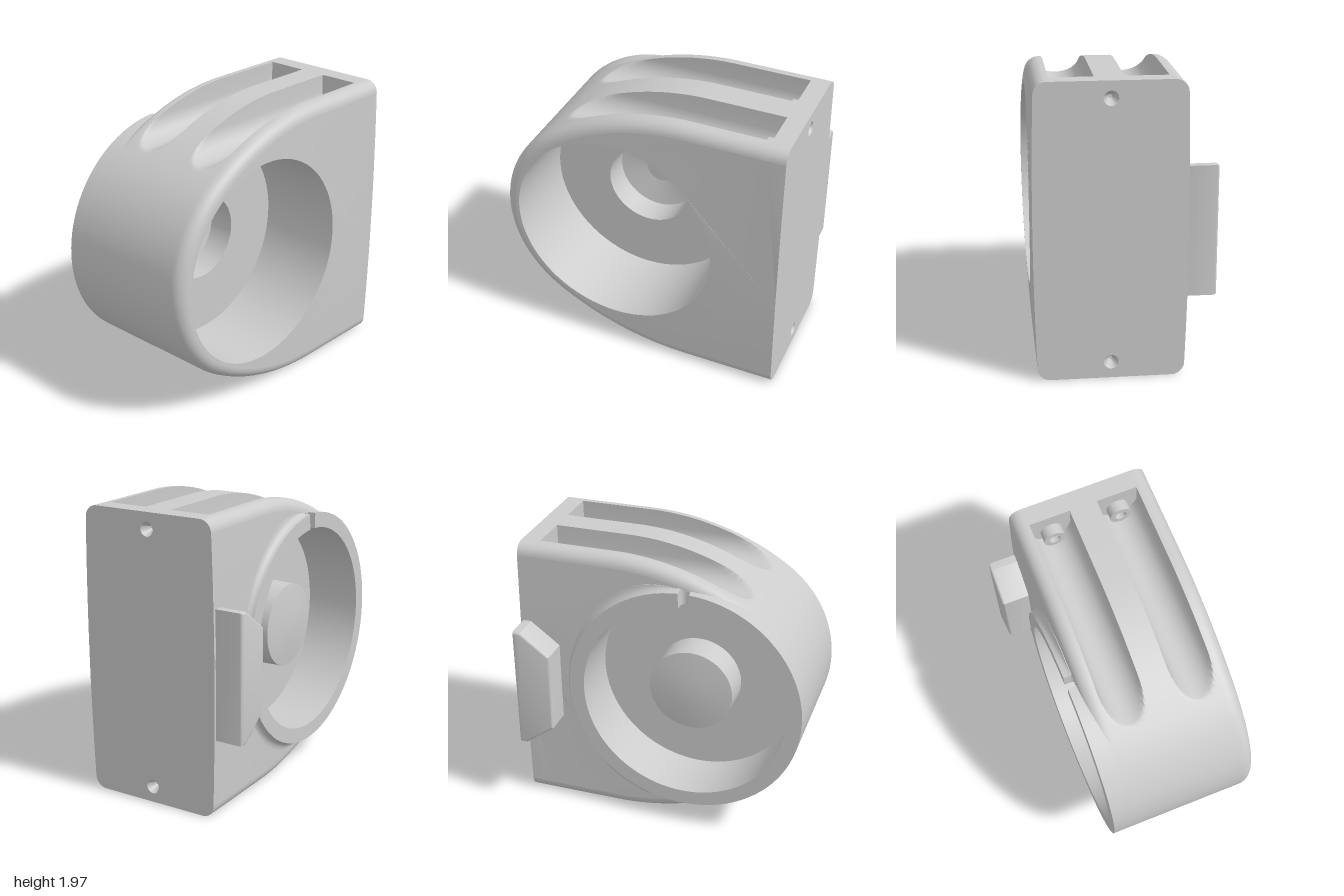
import * as THREE from 'three';
import { toCreasedNormals } from 'three/addons/utils/BufferGeometryUtils.js';

const H = 0.983;                 // half height, also the height of the centre line
const CX = -0.18, R = 0.82;      // round end of the body
const CUP = 0.715, FILLET = 0.08;
const FRONT = 0.57, BACK = -0.38, MID = 0.095;
const GROOVES = [0.33, -0.14], GR = 0.14;
const material = new THREE.MeshStandardMaterial({ color: 0xcccccc, side: THREE.DoubleSide });

// Front and back swell slightly toward mid height
function bulge(geo) {
  const p = geo.attributes.position;
  for (let i = 0; i < p.count; i++) {
    const t = (p.getY(i) - H) / H;
    p.setZ(i, MID + (p.getZ(i) - MID) * (1 + 0.04 * (1 - t * t)));
  }
  return geo;
}

function part(name, geo, crease = 0.6) {
  const mesh = new THREE.Mesh(toCreasedNormals(geo, crease), material);
  mesh.name = name;
  return mesh;
}

// Surface over columns and rows; fn returns [x, y, z]
function grid(cols, rows, fn) {
  const pos = [], idx = [], n = rows.length;
  cols.forEach(c => rows.forEach(r => pos.push(...fn(c, r))));
  for (let i = 0; i < cols.length - 1; i++) {
    for (let j = 0; j < n - 1; j++) {
      const a = i * n + j, b = a + n;
      idx.push(a, a + 1, b, a + 1, b + 1, b);
    }
  }
  const geo = new THREE.BufferGeometry();
  geo.setAttribute('position', new THREE.Float32BufferAttribute(pos, 3));
  geo.setIndex(idx);
  return geo;
}

// D-shaped outline, from the top right corner round the left to the bottom right
function bodyOutline() {
  const half = [], x0 = 0.35, dx = x0 - CX;
  const big = (dx * dx + H * H - R * R) / (2 * (H - R));
  const end = Math.atan2(big - H, -dx);
  const add = (x, h, a, cut = true) => half.push({ x, h, nx: Math.cos(a), nh: Math.sin(a), cut });
  add(1, H, Math.PI / 2, false);
  add(0.87, H, Math.PI / 2, false);
  for (let i = 0; i < 6; i++) add(0.87 - (0.87 - x0) * i / 6, H, Math.PI / 2);
  for (let i = 0; i < 60; i++) {
    const a = Math.PI / 2 + (end - Math.PI / 2) * i / 60;
    add(x0 + big * Math.cos(a), H - big + big * Math.sin(a), a);
  }
  for (let i = 0; i <= 16; i++) {
    const a = end + (Math.PI - end) * i / 16;
    add(CX + R * Math.cos(a), R * Math.sin(a), a);
  }
  const lower = half.slice(0, -1).reverse().map(p => ({ ...p, h: -p.h, nh: -p.nh }));
  return [...half, ...lower];
}

// Rows across the depth: front rounding, two grooves, back rounding
function depthRows() {
  const rows = [], N = 8;
  const round = (z, dir, i) => {
    const a = i / N * Math.PI / 2;
    rows.push({ z: z - dir * FILLET * (1 - Math.cos(a)), inset: FILLET * (1 - Math.sin(a)) });
  };
  for (let i = 0; i <= N; i++) round(FRONT, 1, i);
  for (const c of GROOVES) {
    rows.push({ z: c + GR, inset: 0 });
    for (let i = 0; i <= 16; i++) {
      const d = GR * Math.cos(i / 16 * Math.PI);
      rows.push({ z: c + d, inset: 0, groove: d });
    }
    rows.push({ z: c - GR, inset: 0 });
  }
  for (let i = N; i >= 0; i--) round(BACK, -1, i);
  return rows;
}

function wallPoint(p, r) {
  let h = p.h - p.nh * r.inset;
  if (r.groove !== undefined && p.cut) {
    const floor = 0.862 - Math.sqrt(Math.max(0, GR * GR - r.groove * r.groove));
    h = Math.sign(h) * Math.min(Math.abs(h), floor);
  }
  return [p.x - p.nx * r.inset, H + h, r.z];
}

// Points down a straight edge, so that it can swell
const edge = (x, y0, y1) => Array.from({ length: 17 }, (_, i) => new THREE.Vector2(x, y0 + (y1 - y0) * i / 16));

function circle(x, y, r, n = 72) {
  const path = new THREE.Path();
  path.setFromPoints(Array.from({ length: n }, (_, i) => {
    const a = i / n * Math.PI * 2;
    return new THREE.Vector2(x + r * Math.cos(a), y + r * Math.sin(a));
  }));
  return path;
}

function buildBody(group) {
  const outline = bodyOutline(), rows = depthRows();
  group.add(part('bodyWall', bulge(grid(outline, rows, wallPoint))));
  const inner = outline.map(p => new THREE.Vector2(p.x - p.nx * FILLET, H + p.h - p.nh * FILLET));
  const low = FILLET, high = 2 * H - FILLET;

  const front = new THREE.Shape([...inner, ...edge(1, low, high).slice(1, -1)]);
  front.holes.push(circle(CX, H, CUP));
  group.add(part('frontFace', bulge(new THREE.ShapeGeometry(front).translate(0, 0, FRONT))));

  // Back face ends at the round rim
  const top = inner.filter(p => p.y > H && p.x > -0.14).reverse();
  const bottom = inner.filter(p => p.y < H && p.x > -0.14).reverse();
  const arc = Array.from({ length: 41 }, (_, i) => {
    const a = (-0.5 + i / 40) * Math.PI * 0.97;
    return new THREE.Vector2(CX + 0.8 * Math.cos(a), H + 0.8 * Math.sin(a));
  });
  const back = [...top, ...edge(1, high, low).slice(1, -1), ...bottom, ...arc];
  const backGeo = new THREE.ShapeGeometry(new THREE.Shape(back.map(p => new THREE.Vector2(-p.x, p.y))));
  group.add(part('backFace', bulge(backGeo.rotateY(Math.PI).translate(0, 0, BACK))));

  // Flat end with two screw holes
  const upper = rows.map(r => new THREE.Vector2(-r.z, 2 * H - r.inset));
  const lower = rows.map(r => new THREE.Vector2(-r.z, r.inset)).reverse();
  const end = new THREE.Shape([...upper, ...edge(-BACK, high, low).slice(1, -1), ...lower,
    ...edge(-FRONT, low, high).slice(1, -1)]);
  for (const y of [0.11, 2 * H - 0.11]) {
    end.holes.push(circle(-MID, y, 0.048, 20));
    const cone = new THREE.CylinderGeometry(0.048, 0.012, 0.07, 20, 1, true);
    const tip = new THREE.CircleGeometry(0.012, 20).rotateX(-Math.PI / 2).translate(0, -0.035, 0);
    const hole = new THREE.Group();
    hole.name = 'screwHole';
    hole.add(part('holeWall', cone), part('holeBottom', tip));
    hole.rotation.z = -Math.PI / 2;
    hole.position.set(0.965, y, MID);
    group.add(hole);
  }
  group.add(part('endFace', bulge(new THREE.ShapeGeometry(end).rotateY(Math.PI / 2).translate(1, 0, 0))));
}

function buildCups(group) {
  // Front cup with a sunken cone in its floor
  const turn = Array.from({ length: 73 }, (_, i) => ({ a: i / 72 * Math.PI * 2 }));
  const frontProfile = [[0, -0.22], [0.11, -0.22], [0.295, -0.18], [0.3, 0], [0.707, 0], [CUP, FRONT]];
  const spin = (a, r, z) => [CX + r * Math.cos(a), H + r * Math.sin(a), z];
  group.add(part('frontCup', bulge(grid(turn, frontProfile, (c, p) => spin(c.a, p[0], p[1]))), 0.15));

  // Back rim and cup, with a notch at the top and a flared foot on the flat side
  const half = 0.045, cols = [];
  for (let i = 0; i <= 8; i++) cols.push({ a: Math.PI / 2 + half * (i / 4 - 1), s: i / 4 - 1 });
  for (let i = 0; i <= 90; i++) cols.push({ a: Math.PI / 2 + half + (Math.PI * 2 - 2 * half) * i / 90 });
  cols.push({ ...cols[0], a: cols[0].a + Math.PI * 2 });
  const rows = [[R, -0.3, 0.055]];
  for (let i = 0; i <= 6; i++) {
    const a = i / 6 * Math.PI / 2;
    rows.push([R, -0.44 + 0.05 * Math.cos(a), 0.055 * (1 - Math.sin(a))]);
  }
  rows.push([CUP, -0.44, 0], [0.708, -0.05, 0], [0.3, -0.05, 0], [0.295, -0.26, 0], [0.11, -0.285, 0], [0, -0.285, 0]);
  const backGeo = grid(cols, rows, (c, [r, z, flare]) => {
    const f = Math.min(1, Math.max(0, Math.cos(c.a) * 3));
    const floor = c.s === undefined ? -1 : -0.39 + 0.03 * Math.sqrt(1 - c.s * c.s);
    return spin(c.a, r + flare * f, Math.max(z, floor));
  });
  group.add(part('backRimAndCup', backGeo, 0.4));
}

export function createModel() {
  const group = new THREE.Group();
  group.name = 'housing';
  buildBody(group);
  buildCups(group);

  // Small sleeves at the ends of the grooves, top and bottom
  const ring = new THREE.Shape().absarc(0, 0, 0.075, 0, Math.PI * 2);
  ring.holes.push(new THREE.Path().absarc(0, 0, 0.04, 0, Math.PI * 2));
  const sleeve = new THREE.ExtrudeGeometry(ring, { depth: 0.08, bevelEnabled: false, curveSegments: 12 });
  sleeve.rotateY(Math.PI / 2);
  for (const z of GROOVES) {
    for (const side of [-1, 1]) {
      const mesh = part('grooveSleeve', sleeve);
      mesh.position.set(0.795, H + side * 0.817, z);
      group.add(mesh);
    }
  }

  // Tapered block on the back
  const b = 0.015;
  const block = new THREE.Shape([[0.98 - b, 0.54 + b], [0.98 - b, 1.41 - b], [0.93, 1.41 - b], [0.72 + b, 1.25],
    [0.72 + b, 0.7], [0.93, 0.54 + b]].map(p => new THREE.Vector2(...p)));
  const blockGeo = new THREE.ExtrudeGeometry(block, { depth: 0.2, bevelSize: b, bevelThickness: b, bevelSegments: 3 });
  group.add(part('backBlock', blockGeo.translate(0, 0, -0.573)));
  return group;
}
